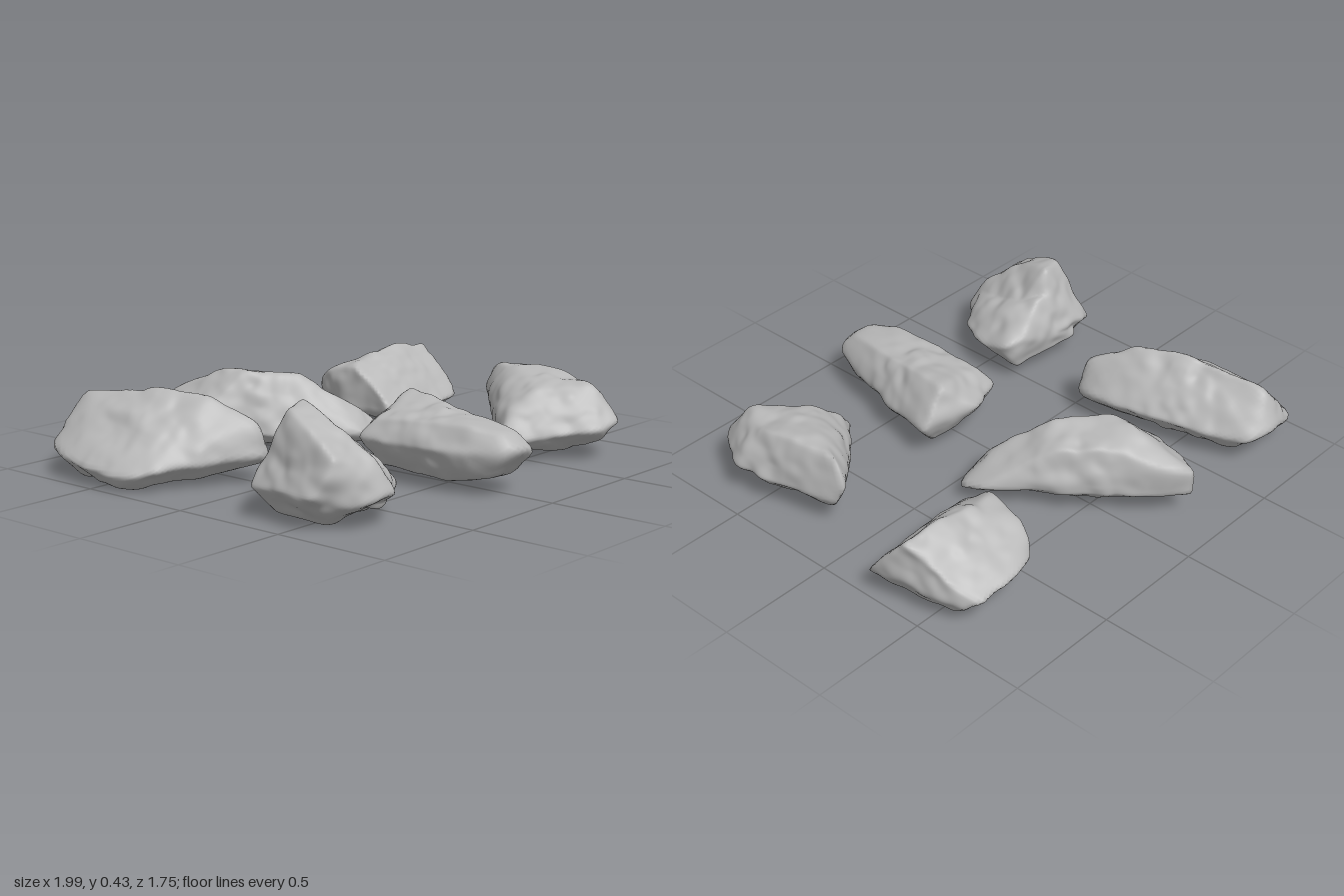
import * as THREE from 'three';
import { mergeVertices } from 'three/addons/utils/BufferGeometryUtils.js';
import { ConvexGeometry } from 'three/addons/geometries/ConvexGeometry.js';

const V = (p) => new THREE.Vector3(...p);

// Seeded value noise, used for chips and dents
function hash(x, y, z) {
  const s = Math.sin(x * 127.1 + y * 311.7 + z * 74.7) * 43758.5453;
  return s - Math.floor(s);
}
function noise(x, y, z) {
  const i = [x, y, z].map(Math.floor);
  const f = [x - i[0], y - i[1], z - i[2]].map((t) => t * t * (3 - 2 * t));
  let sum = 0;
  for (let k = 0; k < 8; k++) {
    const o = [k & 1, (k >> 1) & 1, k >> 2];
    const w = o.reduce((a, b, n) => a * (b ? f[n] : 1 - f[n]), 1);
    sum += w * hash(i[0] + o[0], i[1] + o[1], i[2] + o[2]);
  }
  return sum * 2 - 1;
}

// Outward facet planes of the hull around some corner points, seen from a centre
function facets(points, centre) {
  const p = new ConvexGeometry(points.map(V)).getAttribute('position');
  const planes = [];
  for (let i = 0; i < p.count; i += 3) {
    const [a, b, c] = [0, 1, 2].map((k) => new THREE.Vector3().fromBufferAttribute(p, i + k).sub(centre));
    const n = b.clone().sub(a).cross(c.sub(a)).normalize();
    const h = n.dot(a);
    if (h > 0.002) planes.push({ n, h });
  }
  return planes;
}

// A rock is a fine ball pushed out to softly rounded facets, then roughened
function rockGeometry(centrePoint, hulls) {
  const centre = V(centrePoint);
  const sets = hulls.map((h) => facets(h, centre));
  let g = new THREE.IcosahedronGeometry(1, 25);
  g.deleteAttribute('uv');
  g.deleteAttribute('normal');
  g = mergeVertices(g, 1e-5);
  const pos = g.getAttribute('position');
  const d = new THREE.Vector3();
  for (let i = 0; i < pos.count; i++) {
    const dir = d.fromBufferAttribute(pos, i).normalize().clone();
    let r = 0;
    for (const planes of sets) {
      let sum = 0;
      for (const { n, h } of planes) sum += Math.max(0, n.dot(dir) / h / 10) ** 40;
      r = Math.max(r, 0.1 / sum ** (1 / 40));
    }
    d.multiplyScalar(r * 1.03).add(centre);
    const rough = 0.014 * noise(d.x * 9, d.y * 9, d.z * 9)
      + 0.008 * noise(d.x * 19 + 5, d.y * 19, d.z * 19);
    d.addScaledVector(dir, rough);
    pos.setXYZ(i, d.x, Math.max(0, d.y), d.z);
  }
  g.computeVertexNormals();
  return g;
}

// Each rock: inner centre and the corner points [x, y, z] of one or two overlapping blocks
const rocks = {
  backLeftRock: {
    centre: [-0.72, 0.16, -0.45],
    hulls: [[
      [-0.93, 0.12, -0.79], [-0.84, 0.14, -0.86], [-0.70, 0.17, -0.87], [-0.60, 0.14, -0.83],
      [-0.55, 0.12, -0.62], [-0.47, 0.14, -0.38], [-0.44, 0.15, -0.15], [-0.46, 0.10, -0.04],
      [-0.54, 0.12, -0.03], [-0.80, 0.09, -0.21], [-0.93, 0.09, -0.26], [-1.0, 0.08, -0.38], [-0.99, 0.09, -0.58],
      [-0.75, 0.33, -0.79], [-0.68, 0.26, -0.79], [-0.70, 0.34, -0.60], [-0.66, 0.37, -0.40], [-0.60, 0.36, -0.24],
      [-0.52, 0.27, -0.07],
      [-0.96, 0.01, -0.40], [-0.85, 0.03, -0.75], [-0.64, 0.05, -0.72], [-0.56, 0.03, -0.25], [-0.80, 0.02, -0.30],
    ]],
  },
  backMiddleRock: {
    centre: [-0.05, 0.17, -0.45],
    hulls: [[
      [-0.21, 0.23, -0.87], [-0.20, 0.12, -0.84], [-0.12, 0.25, -0.79], [-0.11, 0.12, -0.77],
      [0.02, 0.13, -0.58], [0.00, 0.31, -0.57], [0.17, 0.15, -0.38], [0.11, 0.29, -0.42], [0.19, 0.23, -0.32],
      [0.32, 0.11, -0.20], [0.33, 0.07, -0.09], [0.21, 0.06, -0.04], [0.10, 0.10, -0.05],
      [-0.08, 0.10, -0.27], [-0.22, 0.10, -0.42], [-0.34, 0.10, -0.54], [-0.34, 0.16, -0.56], [-0.31, 0.21, -0.62],
      [-0.24, 0.28, -0.50], [-0.16, 0.36, -0.47], [-0.14, 0.34, -0.62], [0.01, 0.33, -0.33], [0.09, 0.27, -0.20],
      [0.19, 0.19, -0.13], [-0.18, 0.08, -0.72], [-0.10, 0.05, -0.60], [0.05, 0.04, -0.30], [0.24, 0.05, -0.12],
      [-0.22, 0.06, -0.52],
    ]],
  },
  backRightRock: {
    centre: [0.74, 0.17, -0.42],
    hulls: [[
      [0.48, 0.10, -0.19], [0.75, 0.09, -0.19], [0.97, 0.11, -0.23], [0.99, 0.18, -0.28], [0.48, 0.17, -0.24],
      [0.48, 0.29, -0.40], [0.60, 0.32, -0.44], [0.80, 0.34, -0.42], [0.95, 0.32, -0.40],
      [0.91, 0.19, -0.62], [0.50, 0.25, -0.58], [0.55, 0.16, -0.68], [0.66, 0.17, -0.71], [0.85, 0.14, -0.71],
      [0.90, 0.11, -0.66], [0.48, 0.09, -0.52], [0.56, 0.07, -0.60], [0.87, 0.06, -0.60], [0.92, 0.06, -0.30],
      [0.55, 0.06, -0.28],
    ]],
  },
  frontLeftRock: {
    centre: [-0.71, 0.17, 0.46],
    hulls: [[
      [-0.92, 0.13, 0.28], [-0.80, 0.18, 0.25], [-0.64, 0.16, 0.29], [-0.93, 0.14, 0.61], [-0.90, 0.20, 0.40],
      [-0.80, 0.10, 0.70], [-0.70, 0.13, 0.75], [-0.64, 0.13, 0.74], [-0.55, 0.14, 0.64], [-0.52, 0.17, 0.45],
      [-0.81, 0.43, 0.38], [-0.70, 0.44, 0.36], [-0.85, 0.37, 0.50], [-0.74, 0.38, 0.54], [-0.65, 0.32, 0.46],
      [-0.87, 0.29, 0.65], [-0.68, 0.24, 0.71], [-0.85, 0.04, 0.36], [-0.82, 0.02, 0.58], [-0.60, 0.03, 0.58],
      [-0.62, 0.03, 0.38],
    ], [
      [-0.48, 0.22, 0.28], [-0.41, 0.20, 0.33], [-0.41, 0.15, 0.47], [-0.50, 0.10, 0.53], [-0.53, 0.26, 0.32],
      [-0.53, 0.26, 0.46], [-0.62, 0.33, 0.34], [-0.82, 0.32, 0.34], [-0.82, 0.10, 0.55], [-0.48, 0.07, 0.32],
      [-0.62, 0.03, 0.45], [-0.80, 0.10, 0.27], [-0.62, 0.18, 0.28], [-0.51, 0.13, 0.65], [-0.56, 0.20, 0.65],
      [-0.66, 0.22, 0.70], [-0.64, 0.06, 0.68],
    ]],
  },
  frontMiddleRock: {
    centre: [0.0, 0.17, 0.45],
    hulls: [[
      [-0.20, 0.18, 0.19], [-0.05, 0.20, 0.13], [0.0, 0.20, 0.11], [0.10, 0.20, 0.15], [0.25, 0.17, 0.19],
      [0.20, 0.14, 0.38], [0.13, 0.13, 0.65], [0.06, 0.18, 0.86], [-0.02, 0.20, 0.88], [-0.11, 0.19, 0.84],
      [-0.17, 0.19, 0.70], [-0.19, 0.18, 0.40], [-0.15, 0.26, 0.24], [0.13, 0.33, 0.20], [0.09, 0.31, 0.38],
      [-0.13, 0.27, 0.45], [0.06, 0.28, 0.65], [-0.12, 0.28, 0.70], [0.03, 0.26, 0.80], [-0.09, 0.27, 0.80],
      [-0.12, 0.07, 0.25], [0.15, 0.05, 0.24], [0.07, 0.03, 0.50], [-0.12, 0.06, 0.60], [0.05, 0.07, 0.76],
      [-0.09, 0.09, 0.78],
    ]],
  },
  frontRightRock: {
    centre: [0.70, 0.17, 0.50],
    hulls: [[
      [0.77, 0.24, 0.11], [0.80, 0.14, 0.12], [0.83, 0.13, 0.28], [0.88, 0.14, 0.44], [0.91, 0.16, 0.60],
      [0.84, 0.16, 0.73], [0.76, 0.17, 0.80], [0.66, 0.15, 0.78], [0.52, 0.13, 0.64], [0.58, 0.13, 0.29],
      [0.37, 0.13, 0.48], [0.38, 0.09, 0.51], [0.45, 0.22, 0.47],
      [0.78, 0.35, 0.17], [0.74, 0.32, 0.30], [0.64, 0.33, 0.46], [0.82, 0.32, 0.53], [0.73, 0.32, 0.68],
      [0.80, 0.28, 0.67], [0.54, 0.30, 0.51], [0.76, 0.08, 0.20], [0.70, 0.03, 0.40], [0.60, 0.04, 0.56],
      [0.80, 0.05, 0.58], [0.72, 0.08, 0.72],
    ]],
  },
};

export function createModel() {
  const group = new THREE.Group();
  const stone = new THREE.MeshStandardMaterial({ color: 0xb8b8b8 });
  stone.name = 'stoneGrey';
  for (const [name, { centre, hulls }] of Object.entries(rocks)) {
    const mesh = new THREE.Mesh(rockGeometry(centre, hulls), stone);
    mesh.name = name;
    group.add(mesh);
  }
  return group;
}
